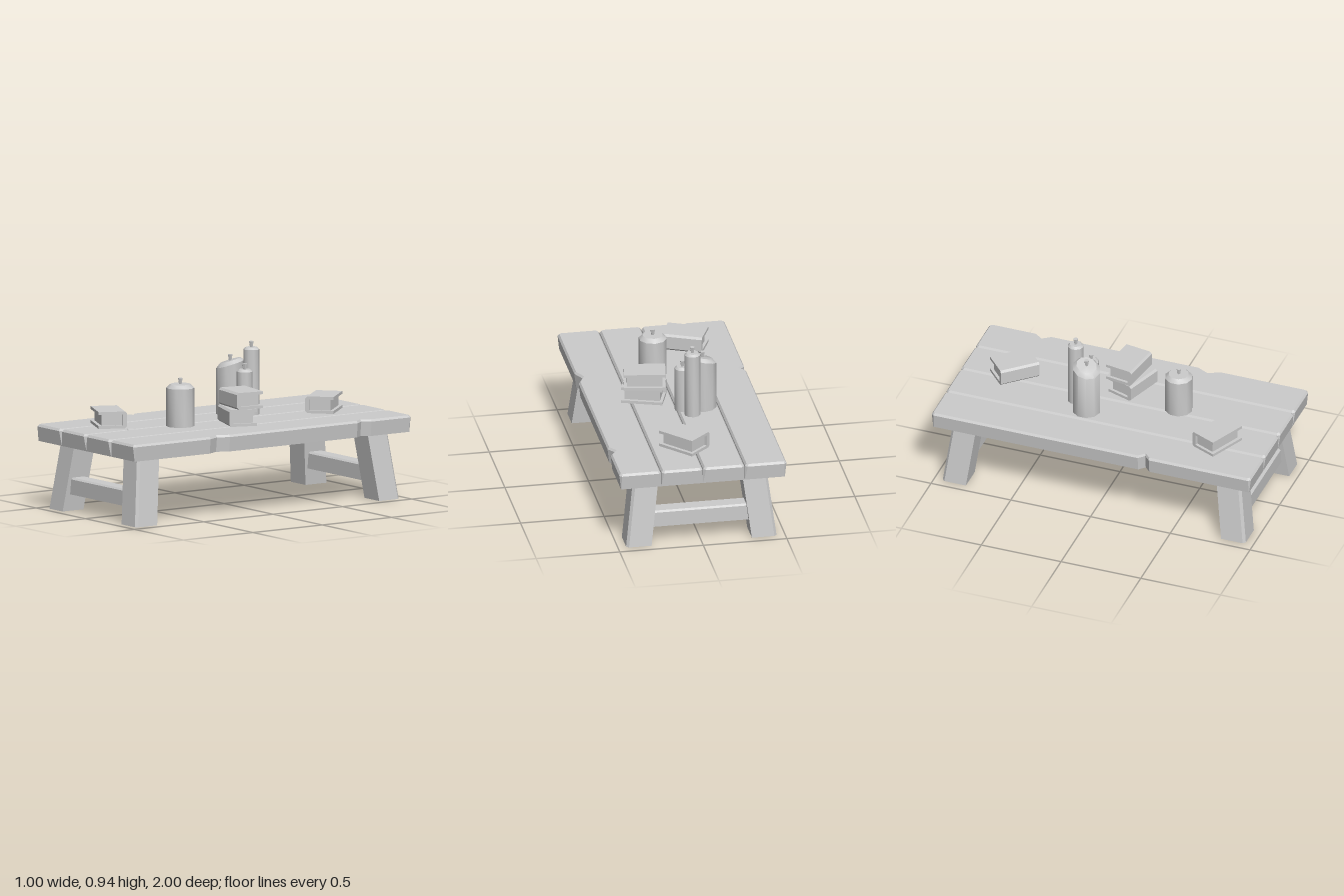
import * as THREE from 'three';
import { toCreasedNormals } from 'three/addons/utils/BufferGeometryUtils.js';

const material = new THREE.MeshStandardMaterial({ color: 0xcccccc });

function add(parent, name, geometry, x = 0, y = 0, z = 0) {
  const mesh = new THREE.Mesh(geometry, material);
  mesh.name = name;
  mesh.position.set(x, y, z);
  parent.add(mesh);
  return mesh;
}

// Closed solid through stacked plan outlines: levels are { y, pts: [[x, z], ...] }, bottom to top
function loft(levels) {
  const out = [];
  const n = levels[0].pts.length;
  const put = (l, i) => out.push(l.pts[i][0], l.y, l.pts[i][1]);
  const cap = (l, up) => {
    const v = l.pts.map(([x, z]) => new THREE.Vector2(x, z));
    for (const [a, b, c] of THREE.ShapeUtils.triangulateShape(v, [])) {
      const ccw = THREE.ShapeUtils.area([v[a], v[b], v[c]]) > 0;
      (ccw === up ? [a, c, b] : [a, b, c]).forEach(i => put(l, i));
    }
  };
  cap(levels[0], false);
  cap(levels[levels.length - 1], true);
  for (let k = 0; k + 1 < levels.length; k++) {
    const lo = levels[k], hi = levels[k + 1];
    for (let i = 0; i < n; i++) {
      const j = (i + 1) % n;
      put(lo, i); put(hi, i); put(hi, j);
      put(lo, i); put(hi, j); put(lo, j);
    }
  }
  const g = new THREE.BufferGeometry();
  g.setAttribute('position', new THREE.Float32BufferAttribute(out, 3));
  g.computeVertexNormals();
  return g;
}

// Plank outline with cut corners and V-shaped chips in its long edges; chip = [z, depth, halfWidth]
function plankOutline(x0, x1, end, cut, rightChips, leftChips) {
  const pts = [[x0 + cut, -end], [x1 - cut, -end], [x1, -end + cut]];
  for (const [z, d, w] of rightChips) pts.push([x1, z - w], [x1 - d, z], [x1, z + w]);
  pts.push([x1, end - cut], [x1 - cut, end], [x0 + cut, end], [x0, end - cut]);
  for (const [z, d, w] of leftChips) pts.push([x0, z + w], [x0 + d, z], [x0, z - w]);
  pts.push([x0, -end + cut]);
  return pts;
}

function tabletop() {
  const group = new THREE.Group();
  group.name = 'tabletop';
  const right = [[], [[0.66, 0.035, 0.03]], [], [[-0.66, 0.035, 0.05], [0.38, 0.035, 0.07]]];
  const left = [[[0.33, 0.035, 0.035]], [], [], []];
  for (let i = 0; i < 4; i++) {
    const x0 = -0.5 + i * 0.25, x1 = x0 + 0.25;
    const level = (y, outer, inner, end, cut) => ({
      y,
      pts: plankOutline(x0 + (i === 0 ? outer : inner), x1 - (i === 3 ? outer : inner),
        1 - end, cut, right[i], left[i]),
    });
    add(group, 'plank', loft([
      level(0.4, 0.01, 0, 0.01, 0.001),
      level(0.487, 0, 0.002, 0, 0.014),
      level(0.5, 0.01, 0.012, 0.01, 0.01),
    ]));
  }
  return group;
}

// Splayed leg with a chamfered outer corner
function leg(sx, sz) {
  const foot = [[0.3, 0.8], [0.45, 0.8], [0.45, 0.935], [0.435, 0.95], [0.3, 0.95]];
  const ring = (y, shift) => {
    const pts = foot.map(([x, z]) => [sx * (x - shift), sz * (z - shift)]);
    return { y, pts: sx * sz < 0 ? pts.reverse() : pts };
  };
  return loft([ring(0, 0), ring(0.405, 0.05)]);
}

// Crossbar with bevelled upper edges
function crossbar(z) {
  const bar = (y, x, d) => ({ y, pts: [[-x, z - d], [x, z - d], [x, z + d], [-x, z + d]] });
  return loft([bar(0.1, 0.31, 0.05), bar(0.19, 0.31, 0.05), bar(0.2, 0.31, 0.04)]);
}

// Book lying flat: C-shaped cover with a chamfered spine, and recessed pages
function book(x, y, z, angle) {
  const L = 0.245, W = 0.17, H = 0.1, t = 0.017, c = 0.012, h = W / 2;
  const group = new THREE.Group();
  group.name = 'book';
  const profile = [
    [-h, 0], [h - c, 0], [h, c], [h, H - c], [h - c, H], [-h, H],
    [-h, H - t], [h - 0.025, H - t], [h - 0.025, t], [-h, t],
  ].map(p => new THREE.Vector2(...p));
  const cover = new THREE.ExtrudeGeometry(new THREE.Shape(profile), { depth: L, bevelEnabled: false });
  cover.translate(0, 0, -L / 2).rotateY(Math.PI / 2);
  add(group, 'cover', cover);
  add(group, 'pages', new THREE.BoxGeometry(L - 0.035, H - 2 * t, W - 0.037), 0, H / 2, -0.002);
  group.position.set(x, y, z);
  group.rotation.y = angle;
  return group;
}

// Candle with chamfered rim and flared wick; the rim may slope
function candle(x, z, r, height, slopeX = 0, slopeZ = 0) {
  const group = new THREE.Group();
  group.name = 'candle';
  const c = r * 0.27;
  const profile = [[0, 0], [r, 0], [r, height - c], [r - c, height], [0, height]]
    .map(p => new THREE.Vector2(...p));
  const wax = new THREE.LatheGeometry(profile, 10);
  const p = wax.attributes.position;
  for (let i = 0; i < p.count; i++) {
    if (p.getY(i) > height / 2) p.setY(i, p.getY(i) + slopeX * p.getX(i) + slopeZ * p.getZ(i));
  }
  add(group, 'wax', toCreasedNormals(wax, 0.68));
  const wick = new THREE.CylinderGeometry(0.015, 0.008, 0.04, 6);
  add(group, 'wick', toCreasedNormals(wick, 0.5), 0, height + 0.015, 0);
  group.position.set(x, 0.5, z);
  return group;
}

export function createModel() {
  const model = new THREE.Group();
  model.name = 'tableWithCandlesAndBooks';
  model.add(tabletop());

  for (const sz of [1, -1]) {
    for (const sx of [1, -1]) add(model, 'leg', leg(sx, sz));
    add(model, 'crossbar', crossbar(sz * 0.855));
  }

  model.add(
    book(-0.205, 0.5, 0.685, -0.42),
    book(0.165, 0.5, 0.02, Math.PI - 0.33),
    book(0.165, 0.6, -0.005, Math.PI - 0.16),
    book(0.055, 0.5, -0.68, Math.PI - 0.83),
    candle(0.05, 0.35, 0.083, 0.25),
    candle(-0.075, -0.25, 0.047, 0.4),
    candle(-0.03, -0.17, 0.047, 0.28),
    candle(-0.153, -0.153, 0.083, 0.32, 0.22, -0.22),
  );
  return model;
}
